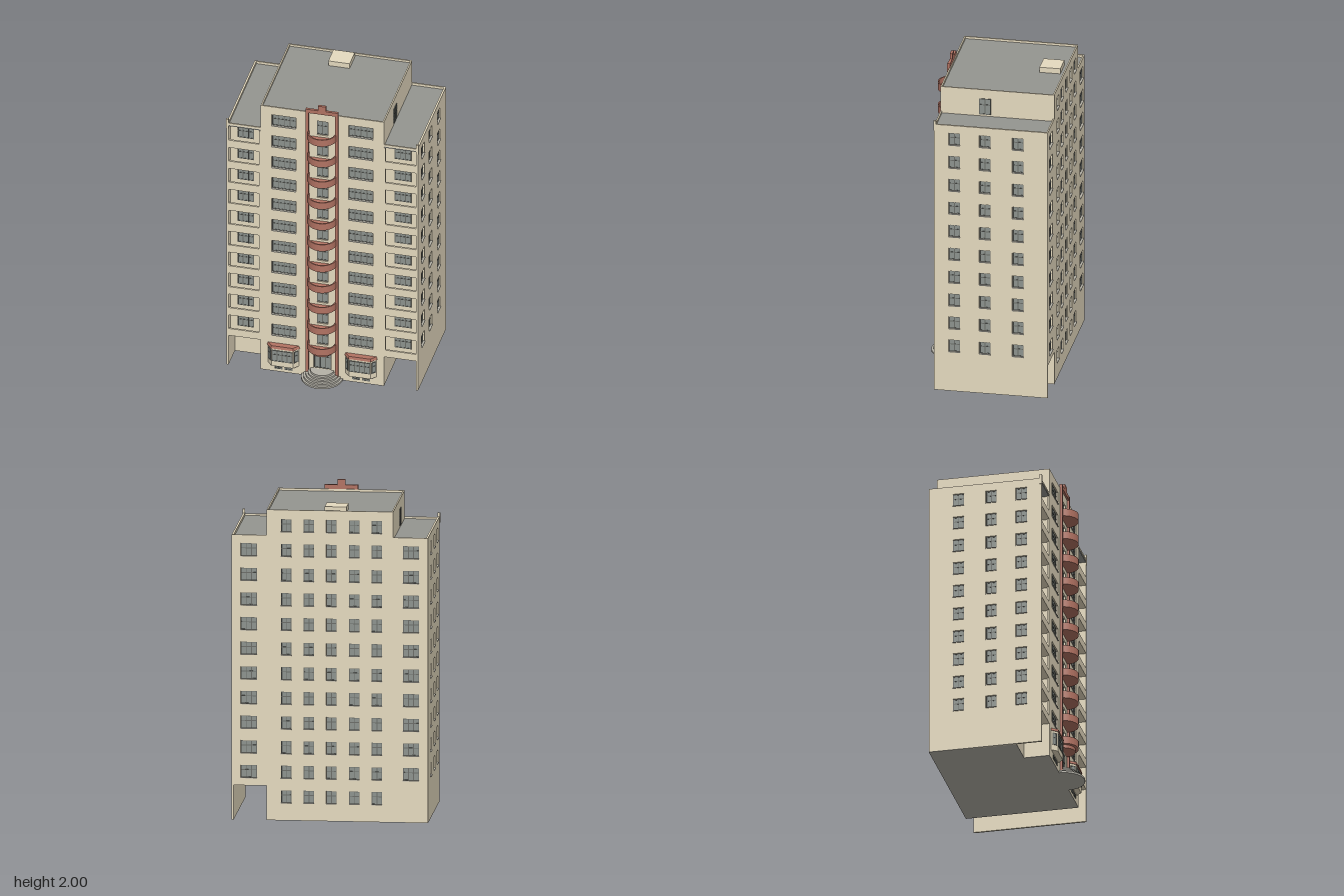
import * as THREE from 'three';
import { mergeGeometries } from 'three/addons/utils/BufferGeometryUtils.js';

const mat = (name, color) => {
  const m = new THREE.MeshStandardMaterial({ color });
  m.name = name;
  return m;
};
const M = {
  plaster: mat('cream plaster', 0xe5dabf),
  brick: mat('brick red', 0xb27363),
  roof: mat('roof grey', 0x949590),
  stone: mat('step stone', 0xb4b1a7),
  glass: mat('window glass', 0x8d938e),
  frame: mat('window frame', 0x6a6c67),
};

// Axis-aligned box from its limits
function box(x0, x1, y0, y1, z0, z1) {
  return new THREE.BoxGeometry(x1 - x0, y1 - y0, z1 - z0)
    .translate((x0 + x1) / 2, (y0 + y1) / 2, (z0 + z1) / 2);
}

// Upright prism from a plan shape drawn in (x, -z)
function prism(shape, y0, y1) {
  return new THREE.ExtrudeGeometry(shape, { depth: y1 - y0, bevelEnabled: false, curveSegments: 24 })
    .rotateX(-Math.PI / 2).translate(0, y0, 0);
}

const polygon = (pts) => pts.map(([x, y]) => new THREE.Vector2(x, y));
const rect = (x0, x1, y0, y1) => polygon([[x0, y0], [x1, y0], [x1, y1], [x0, y1]]);

// Half disc bulging to +z; with an inner radius it becomes a half ring
function halfDisc(r, inner = 0) {
  const s = new THREE.Shape();
  s.absarc(0, -FRONT, r, Math.PI, 2 * Math.PI, false);
  if (inner) s.absarc(0, -FRONT, inner, 2 * Math.PI, Math.PI, true);
  return s;
}

const FRONT = 0.29, BACK = -0.42, MAIN = 0.39, SIDE = 0.605;
const SKIN = 0.012, IN = SIDE - SKIN, LOGGIA = 0.235;
const PITCH = 0.154, FLOORS = 11;
const rowY = (k) => 0.302 + PITCH * k;

export function createModel() {
  const model = new THREE.Group();
  model.name = 'apartmentBuilding';

  const add = (name, material, geos) => {
    const list = [].concat(geos).map((g) => (g.index ? g.toNonIndexed() : g));
    const mesh = new THREE.Mesh(mergeGeometries(list), material);
    mesh.name = name;
    model.add(mesh);
  };

  // Windows: thin pane with bars; angle turns the outward normal from +z
  const panes = [], bars = [], sills = [];
  function win(x, y, z, angle, w, h, cols, split = 0.62) {
    const place = (g) => g.rotateY(angle).translate(x, y, z);
    panes.push(place(box(-w / 2, w / 2, -h / 2, h / 2, -0.001, 0.002)));
    const t = 0.0025;
    for (let i = 0; i <= cols; i++) {
      const u = -w / 2 + t + ((w - 2 * t) * i) / cols;
      bars.push(place(box(u - t, u + t, -h / 2, h / 2, -0.001, 0.0045)));
    }
    for (const f of [0, split, 1]) {
      const v = -h / 2 + t + (h - 2 * t) * f;
      bars.push(place(box(-w / 2, w / 2, v - t, v + t, -0.001, 0.004)));
    }
  }

  // Outer wall skin with window openings [u, v, w, h, cols, hasSill]
  function facade(name, x, z, angle, [u0, u1, v0, v1], openings) {
    const shape = new THREE.Shape(rect(Math.min(u0, u1), Math.max(u0, u1), v0, v1));
    for (const [u, v, w, h, cols, hasSill] of openings) {
      shape.holes.push(new THREE.Path(rect(u - w / 2, u + w / 2, v - h / 2, v + h / 2)));
      const at = new THREE.Vector3(u, v, -SKIN).applyAxisAngle(new THREE.Vector3(0, 1, 0), angle);
      win(x + at.x, at.y, z + at.z, angle, w, h, cols);
      if (hasSill) {
        sills.push(box(u - w / 2, u + w / 2, v - h / 2 - 0.002, v - h / 2 + 0.002, -SKIN, 0.006)
          .rotateY(angle).translate(x, 0, z));
      }
    }
    add(name, M.plaster, new THREE.ExtrudeGeometry(shape, { depth: SKIN, bevelEnabled: false })
      .translate(0, 0, -SKIN).rotateY(angle).translate(x, 0, z));
  }

  // Main block, its roof and roof edge
  add('mainBlock', M.plaster, box(-MAIN, MAIN, 0.003, 1.92, BACK + SKIN, FRONT - SKIN));
  add('mainRoof', M.roof, box(-MAIN + 0.006, MAIN - 0.006, 1.918, 1.926, BACK + 0.006, FRONT - 0.006));
  add('mainRoofEdge', M.plaster, [
    box(-MAIN, MAIN, 1.92, 1.94, FRONT - 0.009, FRONT),
    box(-MAIN, MAIN, 1.92, 1.94, BACK, BACK + 0.009),
    box(-MAIN, -MAIN + 0.009, 1.92, 1.94, BACK, FRONT),
    box(MAIN - 0.009, MAIN, 1.92, 1.94, BACK, FRONT),
  ]);
  add('roofHatch', M.plaster, box(-0.1, 0.035, 1.92, 1.96, -0.39, -0.26));
  add('baseSlab', M.stone, [
    box(-MAIN, MAIN, 0, 0.003, BACK, FRONT),
    box(-SIDE, -MAIN, 0, 0.003, BACK, 0.13),
  ]);

  // Front and back walls of the main block, with the entrance door
  const frontWindows = [[0, 0.13, 0.11, 0.135, 3, false]];
  for (let k = 0; k < FLOORS; k++) {
    for (const s of [-1, 1]) frontWindows.push([s * 0.243, rowY(k), 0.155, 0.08, 4, true]);
    frontWindows.push([0, rowY(k) - 0.01, 0.07, 0.1, 2, false]);
  }
  facade('frontWall', 0, FRONT, 0, [-MAIN, MAIN, 0.003, 1.92], frontWindows);
  const backWindows = [];
  for (let k = -1; k < FLOORS; k++)
    for (const x of [-0.29, -0.15, -0.01, 0.13, 0.27]) backWindows.push([-x, rowY(k), 0.065, 0.08, 2, true]);
  facade('backWall', 0, BACK, Math.PI, [-MAIN, MAIN, 0.003, 1.92], backWindows);

  // Side wings with recessed balconies
  for (const s of [-1, 1]) {
    const side = s > 0 ? 'left' : 'right';
    const sbox = (x0, x1, ...r) => (s > 0 ? box(x0, x1, ...r) : box(-x1, -x0, ...r));
    const body = [
      sbox(MAIN, IN, 0.215, 1.757, BACK + SKIN, LOGGIA),
      sbox(MAIN, IN, 1.757, 1.78, BACK, BACK + 0.009),
      sbox(MAIN, IN, 1.762, 1.776, FRONT - 0.009, FRONT),
      sbox(SIDE - 0.011, SIDE + 0.004, 1.74, 1.805, FRONT - 0.012, FRONT + 0.003),
    ];
    // The right wing is closed at street level, the left one is a passage
    if (s < 0) body.push(sbox(MAIN, IN, 0.003, 0.215, BACK + SKIN, 0.13));
    add(side + 'Wing', M.plaster, body);
    add(side + 'WingRoof', M.roof, sbox(MAIN, IN, 1.753, 1.764, BACK + 0.009, FRONT - 0.002));

    const fronts = [], outer = [], rear = [];
    for (let k = 0; k < 10; k++) {
      const top = 0.265 + PITCH * k, low = k ? top - 0.054 : 0.215;
      fronts.push(sbox(MAIN, IN, low, top, FRONT - 0.012, FRONT));
      fronts.push(sbox(MAIN, IN, low, low + 0.012, LOGGIA, FRONT - 0.012));
      fronts.push(sbox(MAIN, MAIN + 0.009, top, top + 0.1, FRONT - 0.012, FRONT));
      win(s * 0.497, rowY(k), LOGGIA, 0, 0.105, 0.08, 3);
      for (const z of [0.163, -0.027, -0.233]) outer.push([-s * z, rowY(k), 0.07, 0.08, 2, true]);
      rear.push([-s * 0.5, rowY(k), 0.1, 0.08, 3, true]);
    }
    add(side + 'WingBalconies', M.plaster, fronts);
    facade(side + 'OuterWall', s * SIDE, 0, s * Math.PI / 2, [-s * BACK, -s * FRONT, 0, 1.78], outer);
    facade(side + 'RearWall', 0, BACK, Math.PI, [-s * MAIN, -s * SIDE, s < 0 ? 0.003 : 0.215, 1.757], rear);
    // Door onto the wing roof
    win(s * MAIN, 1.828, 0.012, s * Math.PI / 2, 0.072, 0.105, 2);
  }

  // Curved balconies up the centre
  const balconies = [];
  for (let k = 0; k < FLOORS; k++) {
    const y = 0.217 + PITCH * k;
    balconies.push(prism(halfDisc(0.09, 0.082), y, y + 0.048));
    balconies.push(prism(halfDisc(0.083), y, y + 0.01));
  }
  add('curvedBalconies', M.brick, balconies);
  add('entranceCanopy', M.brick, prism(halfDisc(0.07), 0.196, 0.217));

  // Red columns and the crest above them
  add('columns', M.brick, [-1, 1].map((s) =>
    box(s * 0.094 - 0.009, s * 0.094 + 0.009, 0.003, 1.967, FRONT - 0.004, FRONT + 0.014)));
  add('crest', M.brick, [
    box(-0.09, 0.09, 1.94, 1.966, FRONT - 0.004, FRONT + 0.012),
    box(-0.025, 0.025, 1.966, 2.0, FRONT - 0.004, FRONT + 0.012),
  ]);

  // Round entrance steps
  const steps = [];
  for (let i = 0; i < 5; i++) steps.push(prism(halfDisc(0.13 - i * 0.014), i * 0.0125, (i + 1) * 0.0125));
  add('entranceSteps', M.stone, steps);

  // Bay windows at street level, with vents below
  const bayPlan = (cx, a, b, z) =>
    new THREE.Shape(polygon([[cx - a, -FRONT], [cx - b, -z], [cx + b, -z], [cx + a, -FRONT]]));
  for (const s of [-1, 1]) {
    const cx = s * 0.245, side = s > 0 ? 'left' : 'right';
    add(side + 'BayWindow', M.plaster, prism(bayPlan(cx, 0.098, 0.068, 0.325), 0.06, 0.19));
    const cap = prism(bayPlan(cx, 0.104, 0.072, 0.331), 0.19, 0.208);
    const p = cap.attributes.position;
    for (let i = 0; i < p.count; i++) {
      if (p.getY(i) < 0.2) continue;
      p.setX(i, cx + (p.getX(i) - cx) * 0.93);
      p.setZ(i, FRONT + (p.getZ(i) - FRONT) * 0.9);
    }
    cap.computeVertexNormals();
    add(side + 'BayRoof', M.brick, cap);
    win(cx, 0.137, 0.325, 0, 0.13, 0.08, 4);
    const slant = Math.atan2(0.035, 0.03);
    for (const t of [-1, 1]) {
      win(cx + t * 0.083, 0.137, 0.3075, t * slant, 0.03, 0.08, 1);
      win(cx + t * 0.032, 0.033, FRONT, 0, 0.05, 0.024, 2, 0.5);
    }
  }

  add('windowPanes', M.glass, panes);
  add('windowFrames', M.frame, bars);
  add('windowSills', M.stone, sills);
  return model;
}
